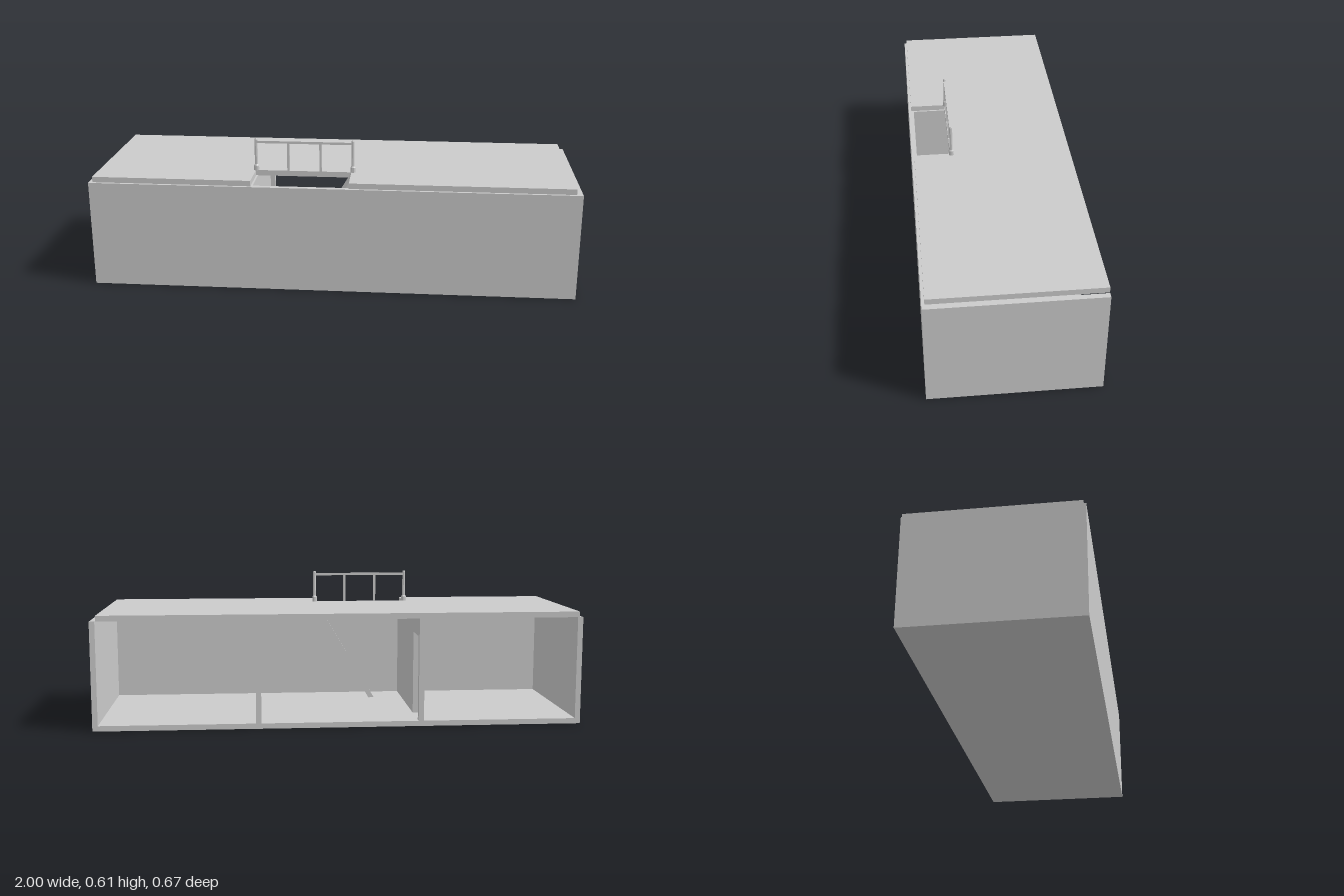
import * as THREE from 'three';

const material = new THREE.MeshStandardMaterial({ color: 0xcccccc, flatShading: true });
const W = 1, D = 0.333, WALL_TOP = 0.445, ROOF_TOP = 0.468, T = 0.022;
const HATCH = { x0: -0.33, x1: 0.07, z: 0.172 };

function add(parent, name, geometry) {
  const mesh = new THREE.Mesh(geometry, material);
  mesh.name = name;
  parent.add(mesh);
  return mesh;
}

// Box given by its lower and upper limits on each axis
function block(parent, name, x0, x1, y0, y1, z0, z1) {
  const mesh = add(parent, name, new THREE.BoxGeometry(x1 - x0, y1 - y0, z1 - z0));
  mesh.position.set((x0 + x1) / 2, (y0 + y1) / 2, (z0 + z1) / 2);
  return mesh;
}

const outline = (points) => new THREE.Shape(points.map(([x, y]) => new THREE.Vector2(x, y)));
const extrude = (shape, depth) => new THREE.ExtrudeGeometry(shape, { depth, bevelEnabled: false });

// Cross wall with a doorway close to the open back
function partition(parent, x) {
  const y0 = T, door = { near: -0.308, far: -0.172, top: 0.37 };
  const shape = outline([
    [-D, y0], [door.near, y0], [door.near, door.top], [door.far, door.top],
    [door.far, y0], [D - T, y0], [D - T, WALL_TOP], [-D, WALL_TOP],
  ]);
  const geometry = extrude(shape, T);
  geometry.rotateY(-Math.PI / 2); // shape x becomes z
  add(parent, 'partition', geometry).position.x = x + T / 2;
}

// Railing post: wide foot, chamfer, slim shaft and small pointed cap
function post(parent, x, z) {
  const profile = [[0, 0], [0.011, 0], [0.011, 0.02], [0.007, 0.026], [0.0065, 0.132], [0.004, 0.137], [0, 0.137]];
  const geometry = new THREE.LatheGeometry(profile.map(([r, y]) => new THREE.Vector2(r, y)), 8);
  geometry.rotateY(Math.PI / 8);
  add(parent, 'railingPost', geometry).position.set(x, ROOF_TOP, z);
}

export function createModel() {
  const model = new THREE.Group();
  model.name = 'building';

  // Shell, open at the back
  block(model, 'floor', -W, W, 0, T, -D, D);
  block(model, 'frontWall', -W, W, T, WALL_TOP, D - T, D);
  for (const s of [-1, 1]) {
    const x = s * (W - T / 2);
    block(model, 'sideWall', x - T / 2, x + T / 2, T, WALL_TOP, -D, D - T);
    partition(model, s / 3);
  }

  // Roof slab, notched at the front for the stair opening
  const roofFront = 0.322;
  const roof = extrude(outline([
    [-0.985, D], [-0.985, -roofFront], [HATCH.x0, -roofFront], [HATCH.x0, -HATCH.z],
    [HATCH.x1, -HATCH.z], [HATCH.x1, -roofFront], [0.975, -roofFront], [0.975, D],
  ]), ROOF_TOP - WALL_TOP);
  roof.rotateX(-Math.PI / 2);
  add(model, 'roof', roof).position.y = WALL_TOP;

  // Steep ramp from the floor up to the roof opening
  const ramp = extrude(outline([
    [-0.195, T], [-0.17, T], [HATCH.x1, 0.43], [HATCH.x1, ROOF_TOP],
  ]), D - T - HATCH.z);
  add(model, 'ramp', ramp).position.z = HATCH.z;

  // Railing along the rear of the opening
  const railing = new THREE.Group();
  railing.name = 'railing';
  model.add(railing);
  const z = 0.167, left = -0.328, right = 0.076, r = 0.005;
  post(railing, left, z);
  post(railing, right, z);
  block(railing, 'topRail', left, right, 0.585, 0.595, z - r, z + r);
  for (let i = 1; i < 3; i++) {
    const x = left + ((right - left) * i) / 3;
    block(railing, 'baluster', x - r, x + r, ROOF_TOP, 0.585, z - r, z + r);
  }
  return model;
}
